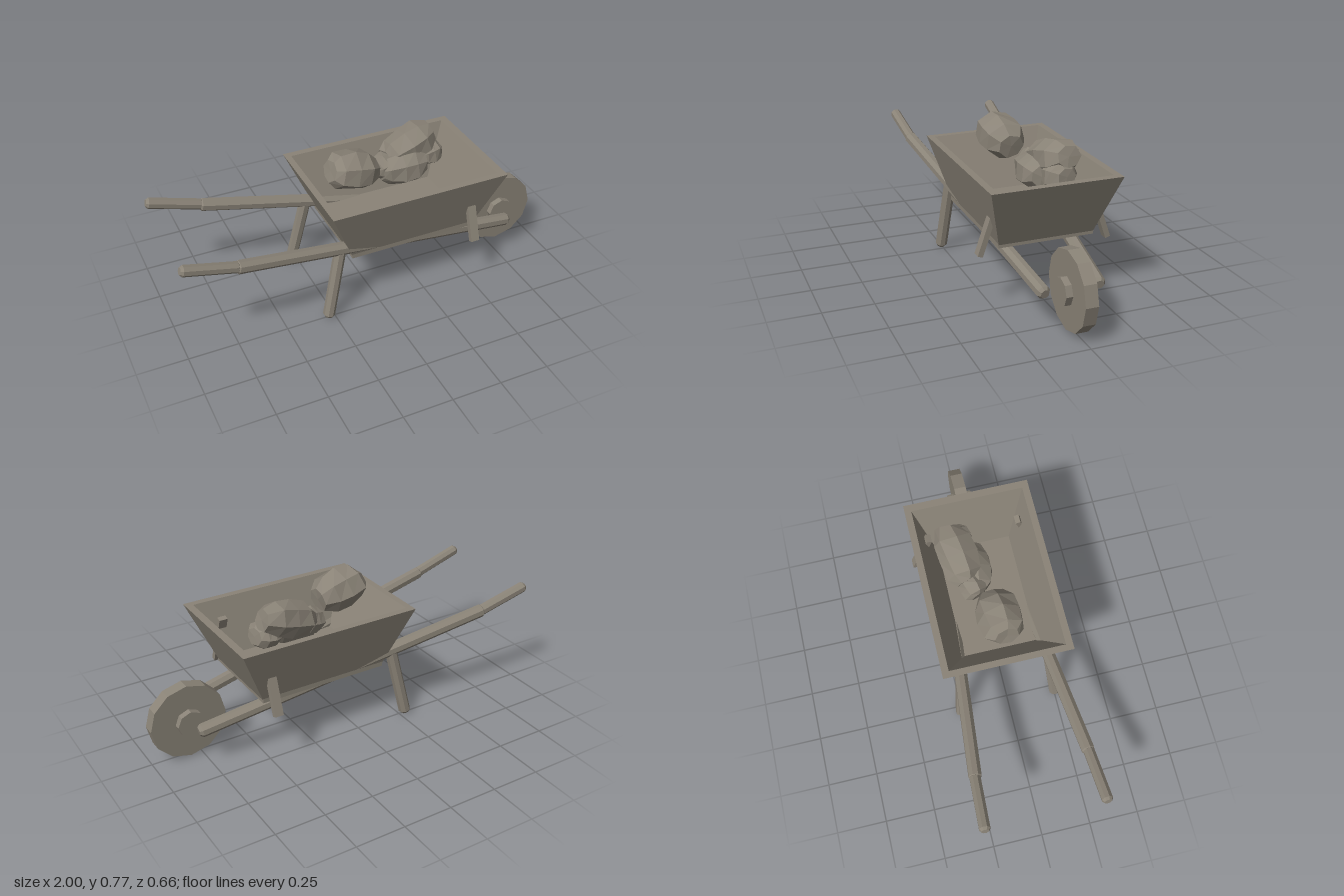
import * as THREE from 'three';

const stone = new THREE.MeshStandardMaterial({ color: 0x8a8377 });
stone.name = 'weathered grey brown';

// Faceted mesh: split faces so every facet has its own normal
function facet(name, geometry, parent) {
  const g = geometry.index ? geometry.toNonIndexed() : geometry;
  g.computeVertexNormals();
  const mesh = new THREE.Mesh(g, stone);
  mesh.name = name;
  parent.add(mesh);
  return mesh;
}

// Eight-sided rod with bevelled ends, running from a to b
function rod(name, a, b, r, parent) {
  const from = new THREE.Vector3(...a), to = new THREE.Vector3(...b);
  const dir = to.clone().sub(from), h = dir.length() / 2, bev = r * 0.45;
  const profile = [[0, -h], [r * 0.65, -h], [r, -h + bev], [r, h - bev], [r * 0.65, h], [0, h]]
    .map(p => new THREE.Vector2(...p));
  const mesh = facet(name, new THREE.LatheGeometry(profile, 8, Math.PI / 8), parent);
  mesh.position.copy(from).add(to).multiplyScalar(0.5);
  mesh.quaternion.setFromUnitVectors(new THREE.Vector3(0, 1, 0), dir.normalize());
  return mesh;
}

// Loft through rectangles [x0, x1, halfZ, y], listed from the outside in
function rectLoft(rings) {
  const pos = [];
  const loops = rings.map(([x0, x1, z, y]) =>
    [[x1, y, z], [x1, y, -z], [x0, y, -z], [x0, y, z]]);
  for (let k = 0; k < loops.length - 1; k++) {
    for (let i = 0; i < 4; i++) {
      const j = (i + 1) % 4, a = loops[k], b = loops[k + 1];
      pos.push(...a[i], ...a[j], ...b[j], ...a[i], ...b[j], ...b[i]);
    }
  }
  const g = new THREE.BufferGeometry();
  g.setAttribute('position', new THREE.Float32BufferAttribute(pos, 3));
  return g;
}

// Chunky boulder: blunt seven-sided barrel along x, made uneven by a smooth rule
function boulder(name, centre, size, tilt, yaw, seed, parent) {
  const profile = [[0, -1], [0.55, -1], [0.88, -0.72], [1.02, -0.1], [0.98, 0.5], [0.6, 0.98], [0, 1]]
    .map(p => new THREE.Vector2(...p));
  const g = new THREE.LatheGeometry(profile, 7, seed);
  g.rotateZ(-Math.PI / 2);
  const p = g.attributes.position;
  for (let i = 0; i < p.count; i++) {
    const x = p.getX(i), y = p.getY(i), z = p.getZ(i);
    const k = 1 + 0.07 * Math.sin(3 * x + 2 * y + seed) * Math.cos(2.5 * z - seed);
    p.setXYZ(i, x * k, y * k, z * k);
  }
  g.scale(...size);
  const mesh = facet(name, g, parent);
  mesh.position.set(...centre);
  mesh.rotation.set(0, yaw, tilt);
}

export function createModel() {
  const model = new THREE.Group();
  model.name = 'wheelbarrow';

  // Tray: flared walls with a thick rim, open at the top
  facet('tray', rectLoft([
    [0.19, 0.19, 0, 0.325],
    [-0.145, 0.52, 0.235, 0.325],
    [-0.275, 0.65, 0.318, 0.622],
    [-0.243, 0.612, 0.284, 0.622],
    [-0.1, 0.49, 0.188, 0.355],
    [0.19, 0.19, 0, 0.355],
  ]), model);
  const base = facet('trayBase', new THREE.BoxGeometry(0.665, 0.025, 0.474), model);
  base.position.set(0.187, 0.322, 0);

  // Shafts, grips, legs and side braces, mirrored across z
  for (const [s, side] of [[1, 'Right'], [-1, 'Left']]) {
    rod('shaft' + side, [-0.74, 0.478, s * 0.274], [0.805, 0.193, s * 0.131], 0.033, model);
    rod('grip' + side, [-0.995, 0.553, s * 0.287], [-0.72, 0.476, s * 0.274], 0.028, model);
    rod('leg' + side, [-0.2, 0.39, s * 0.222], [-0.284, 0.005, s * 0.253], 0.03, model);

    const brace = facet('brace' + side, new THREE.BoxGeometry(0.044, 0.28, 0.026), model);
    brace.position.set(0.487, 0.408, s * 0.274);
    brace.rotation.x = -s * 0.33;
  }

  // Wheel and hub
  const wheel = new THREE.Group();
  wheel.name = 'wheel';
  wheel.position.set(0.809, 0.196, 0);
  model.add(wheel);
  facet('wheelDisc', new THREE.CylinderGeometry(0.191, 0.191, 0.062, 12).rotateX(Math.PI / 2), wheel);
  facet('wheelHub', new THREE.CylinderGeometry(0.068, 0.068, 0.126, 8).rotateX(Math.PI / 2), wheel);

  // Load of boulders
  const load = new THREE.Group();
  load.name = 'boulders';
  model.add(load);
  boulder('boulderRear', [-0.04, 0.66, 0.008], [0.126, 0.099, 0.112], -0.22, 0.08, 0.4, load);
  boulder('boulderTop', [0.325, 0.642, -0.112], [0.143, 0.09, 0.1], 0.27, 0.15, 1.3, load);
  boulder('boulderLow', [0.265, 0.565, -0.045], [0.12, 0.088, 0.088], 0.05, -0.1, 2.2, load);
  boulder('boulderFront', [0.43, 0.588, -0.1], [0.06, 0.07, 0.085], 0.1, 0.2, 3.1, load);
  boulder('boulderSmall', [0.17, 0.58, -0.075], [0.06, 0.065, 0.068], 0.2, 0.3, 4.0, load);

  return model;
}
